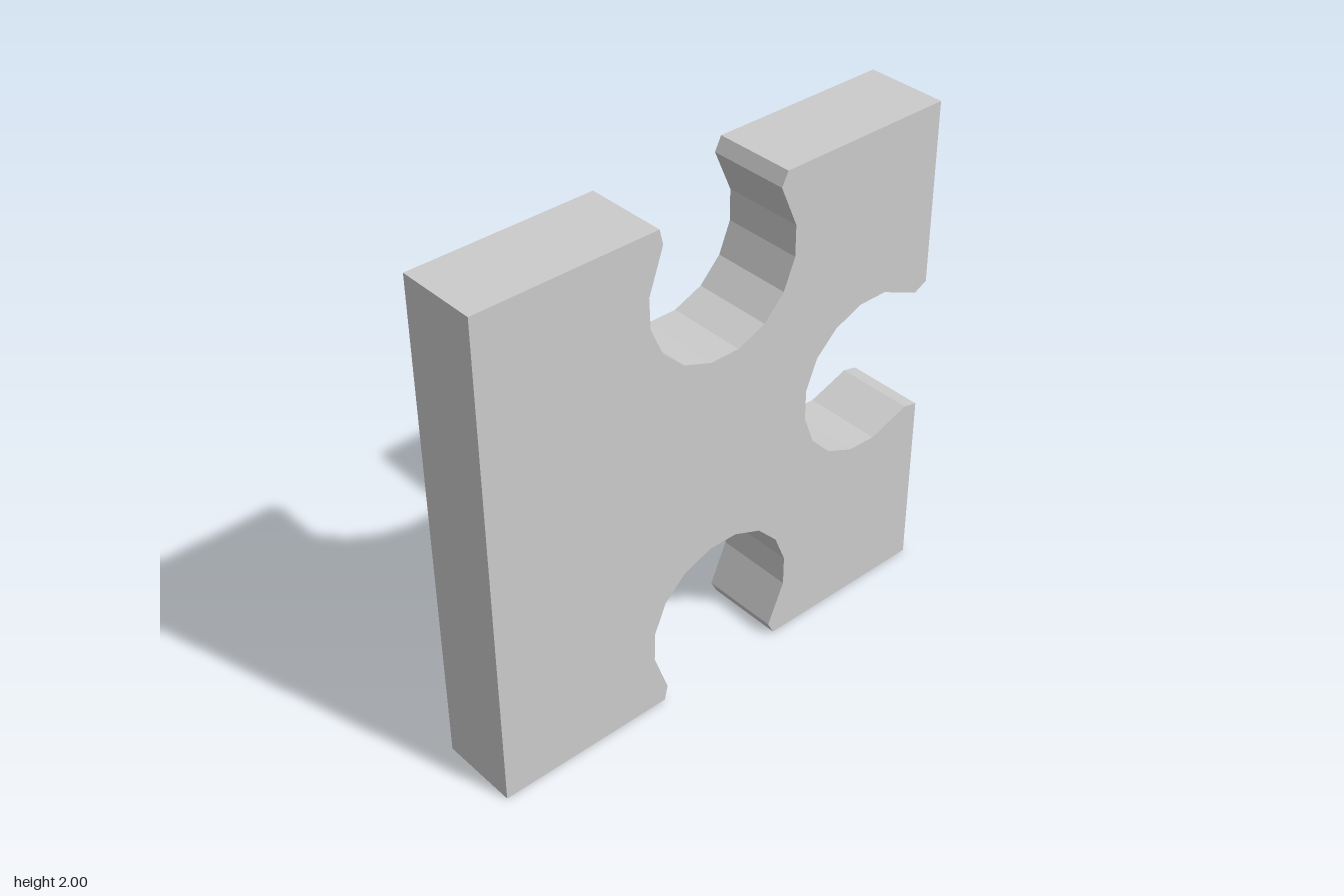
import * as THREE from 'three';

// Socket profile: [position along the edge, depth into the tile]
const SOCKET = [
  [-0.272, 0], [-0.258, 0.06], [-0.318, 0.23], [-0.314, 0.35], [-0.263, 0.467],
  [-0.172, 0.553], [-0.052, 0.598], [0.07, 0.598], [0.188, 0.55], [0.274, 0.46],
  [0.322, 0.342], [0.322, 0.22], [0.25, 0.053], [0.277, 0],
];
const THICKNESS = 0.32;

export function createModel() {
  const group = new THREE.Group();
  group.name = 'puzzlePiece';

  // Square outline with the same socket cut into the bottom, right and top edges
  const bottom = SOCKET.map(([a, d]) => new THREE.Vector2(a, d));
  const side = SOCKET.map(([a, d]) => new THREE.Vector2(1 - d, 1 + a));
  const top = SOCKET.map(([a, d]) => new THREE.Vector2(a, 2 - d)).reverse();
  const outline = new THREE.Shape([
    new THREE.Vector2(-1, 0), ...bottom,
    new THREE.Vector2(1, 0), ...side,
    new THREE.Vector2(1, 2), ...top,
    new THREE.Vector2(-1, 2),
  ]);

  // Flat tile, centred on z
  const geometry = new THREE.ExtrudeGeometry(outline, { depth: THICKNESS, bevelEnabled: false });
  geometry.translate(0, 0, -THICKNESS / 2);
  const material = new THREE.MeshStandardMaterial({ color: 0xcccccc, flatShading: true });
  const tile = new THREE.Mesh(geometry, material);
  tile.name = 'tile';
  group.add(tile);

  return group;
}
